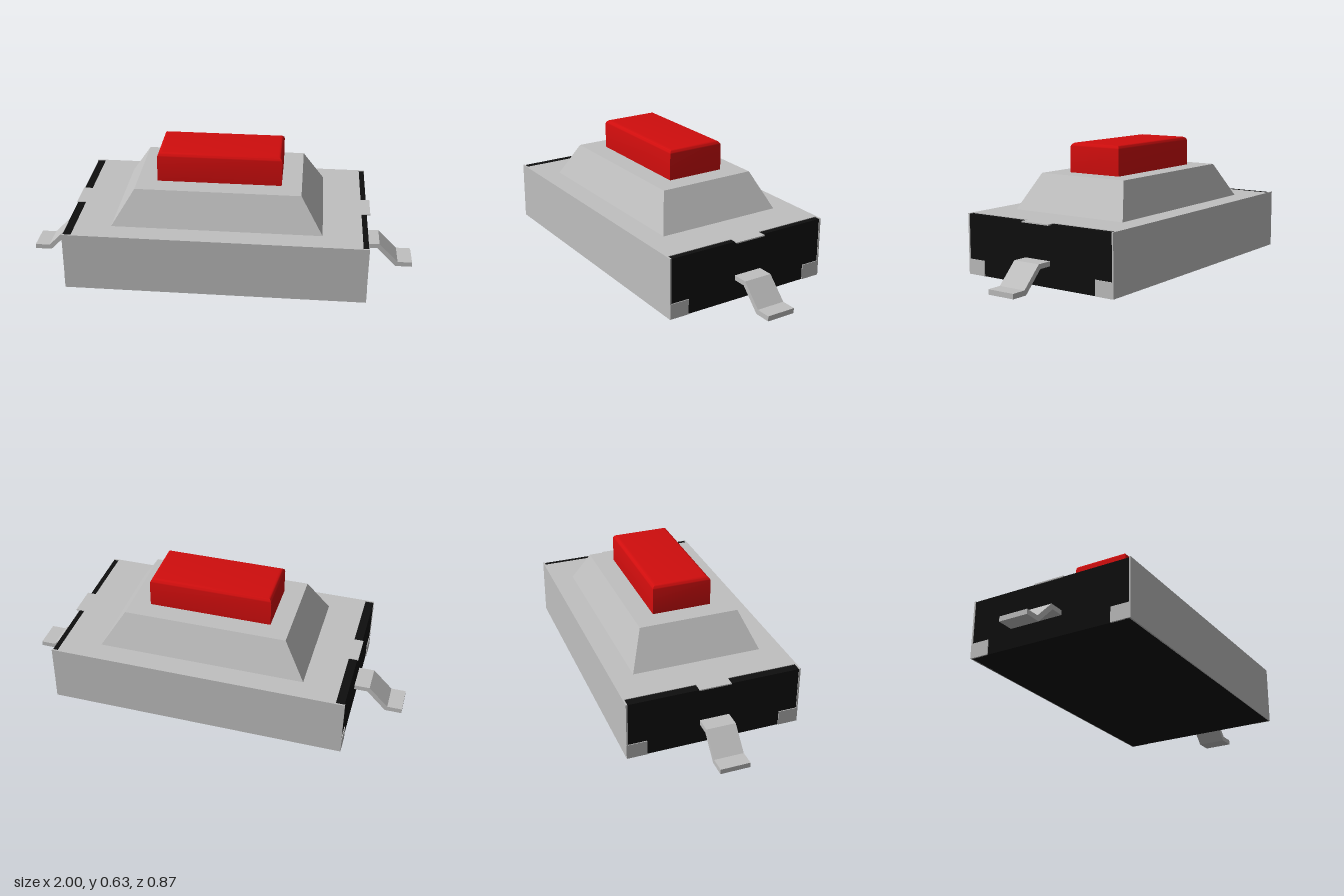
import * as THREE from 'three';
import { toCreasedNormals } from 'three/addons/utils/BufferGeometryUtils.js';

// Stack of rectangles [y, halfX, halfZ], joined by side walls and capped at both ends
function loftRects(levels) {
  const pos = [], idx = [];
  for (const [y, x, z] of levels) pos.push(-x, y, z, x, y, z, x, y, -z, -x, y, -z);
  for (let i = 0; i < levels.length - 1; i++) {
    for (let j = 0; j < 4; j++) {
      const a = i * 4 + j, b = i * 4 + (j + 1) % 4;
      idx.push(a, b, b + 4, a, b + 4, a + 4);
    }
  }
  const t = (levels.length - 1) * 4;
  idx.push(t, t + 1, t + 2, t, t + 2, t + 3, 0, 2, 1, 0, 3, 2);
  const g = new THREE.BufferGeometry();
  g.setAttribute('position', new THREE.Float32BufferAttribute(pos, 3));
  g.setIndex(idx);
  return toCreasedNormals(g, 0.6);
}

function extrude(points, depth) {
  const shape = new THREE.Shape(points.map(([x, y]) => new THREE.Vector2(x, y)));
  return new THREE.ExtrudeGeometry(shape, { depth, bevelEnabled: false });
}

export function createModel() {
  const model = new THREE.Group();
  model.name = 'pushSwitch';
  const material = (name, color) => {
    const m = new THREE.MeshStandardMaterial({ color });
    m.name = name;
    return m;
  };
  const metal = material('metal', 0xc0c0c0);
  const black = material('blackPlastic', 0x0e0e0e);
  const red = material('redPlastic', 0xd00d0d);

  const add = (name, geometry, mat) => {
    const mesh = new THREE.Mesh(geometry, mat);
    mesh.name = name;
    model.add(mesh);
    return mesh;
  };
  const box = (name, mat, w, h, d, x, y, z) =>
    add(name, new THREE.BoxGeometry(w, h, d), mat).position.set(x, y, z);

  // Plastic base
  box('base', black, 1.494, 0.297, 0.862, 0, 0.1485, 0);

  // Metal cover: top plate with a tongue at each end
  const top = extrude([
    [-0.705, -0.434], [0.72, -0.434], [0.72, -0.08], [0.765, -0.08],
    [0.765, 0.08], [0.72, 0.08], [0.72, 0.434], [-0.705, 0.434],
    [-0.705, 0.08], [-0.752, 0.08], [-0.752, -0.08], [-0.705, -0.08],
  ], 0.006);
  top.rotateX(-Math.PI / 2).translate(0, 0.294, 0);
  add('coverTop', top, metal);

  // Long side walls of the cover and the tabs folded round the ends
  for (const sz of [1, -1]) {
    box('coverSide', metal, 1.5, 0.3, 0.008, 0, 0.15, sz * 0.432);
    for (const sx of [1, -1]) {
      box('cornerTab', metal, 0.008, 0.076, 0.1, sx * 0.747, 0.038, sz * 0.385);
    }
  }

  // Raised sloping collar
  add('collar', loftRects([[0.299, 0.525, 0.325], [0.476, 0.413, 0.251]]), metal);

  // Button with rounded upper edges
  const levels = [[0.47, 0.312, 0.149]];
  const r = 0.024;
  for (let i = 0; i <= 6; i++) {
    const a = (i / 6) * Math.PI / 2, inset = r * (1 - Math.cos(a));
    levels.push([0.626 - r + r * Math.sin(a), 0.312 - inset, 0.149 - inset]);
  }
  add('button', loftRects(levels), red);

  // Bent solder leads
  for (const s of [1, -1]) {
    const lead = extrude([
      [0.74, 0.102], [0.815, 0.102], [0.915, 0], [1, 0],
      [1, 0.025], [0.925, 0.025], [0.825, 0.126], [0.74, 0.126],
    ], 0.148);
    lead.translate(0, 0, -0.074);
    if (s < 0) lead.rotateY(Math.PI);
    add(s > 0 ? 'leftLead' : 'rightLead', lead, metal);
  }
  return model;
}
